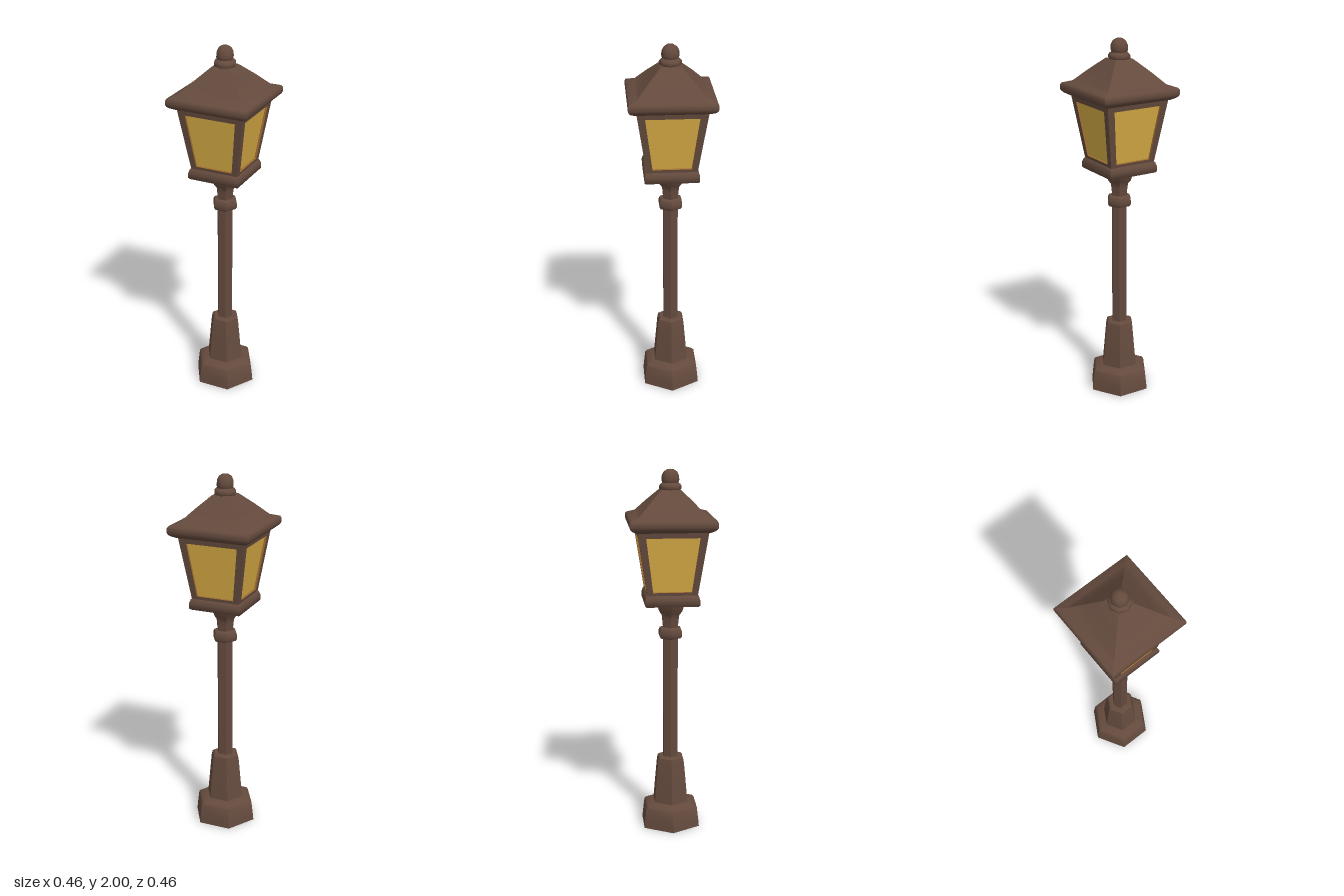
import * as THREE from 'three';
import { toCreasedNormals } from 'three/addons/utils/BufferGeometryUtils.js';

export function createModel() {
  const model = new THREE.Group();
  const material = (name, color) => {
    const m = new THREE.MeshStandardMaterial({ color });
    m.name = name;
    return m;
  };
  const iron = material('brown iron', 0x644a3d);
  const amber = material('amber glass', 0xd6ab45);
  const edge = material('dark amber edge', 0x9c6a2c);

  // Faceted turned part; profile is [radius, height] from bottom to top
  function turned(name, sides, profile, start = 0, crease = 0.6) {
    const points = profile.map(([r, y]) => new THREE.Vector2(r, y));
    const geometry = toCreasedNormals(new THREE.LatheGeometry(points, sides, start), crease);
    const mesh = new THREE.Mesh(geometry, iron);
    mesh.name = name;
    model.add(mesh);
  }
  const hex = (name, profile) => turned(name, 6, profile, Math.PI / 2);
  // Square part; profile gives half widths
  const square = (name, profile) =>
    turned(name, 4, profile.map(([w, y]) => [w * Math.SQRT2, y]), Math.PI / 4, 0.75);

  // Hexagonal foot and post
  hex('foot', [[0, 0], [0.178, 0], [0.175, 0.03], [0.165, 0.11], [0.155, 0.122], [0.105, 0.138], [0, 0.138]]);
  hex('pedestal', [[0, 0.12], [0.108, 0.12], [0.084, 0.37], [0.078, 0.395], [0.068, 0.402], [0, 0.402]]);
  hex('pole', [[0, 0.38], [0.045, 0.38], [0.045, 1.2], [0, 1.2]]);
  hex('collar', [[0.045, 1.08], [0.064, 1.086], [0.071, 1.098], [0.071, 1.122], [0.064, 1.138], [0.045, 1.145]]);
  hex('neck', [[0.045, 1.14], [0.05, 1.19], [0.054, 1.215], [0.071, 1.235], [0.088, 1.285], [0, 1.285]]);

  // Lantern tray
  square('lanternTray', [[0, 1.282], [0.14, 1.282], [0.147, 1.29], [0.147, 1.318], [0.14, 1.34], [0.13, 1.346], [0, 1.346]]);

  // Four leaning walls, each a frame with a recessed pane
  const low = 1.33, high = 1.7, lowHalf = 0.133, highHalf = 0.189;
  const slant = Math.hypot(high - low, highHalf - lowHalf);
  const lean = Math.atan2(highHalf - lowHalf, high - low);
  const trapezoid = (w0, v0, w1, v1) =>
    [[-w0, v0], [w0, v0], [w1, v1], [-w1, v1]].map(([x, y]) => new THREE.Vector2(x, y));
  const frameShape = new THREE.Shape(trapezoid(lowHalf, 0, highHalf, slant));
  frameShape.holes.push(new THREE.Path(trapezoid(0.104, 0.03, 0.143, 0.33)));
  const frameGeometry = new THREE.ExtrudeGeometry(frameShape, { depth: 0.018, bevelEnabled: false });
  frameGeometry.translate(0, 0, -0.018);
  const paneGeometry = new THREE.ShapeGeometry(new THREE.Shape(trapezoid(0.108, 0.026, 0.147, 0.334)));
  paneGeometry.translate(0, 0, -0.012);
  for (let i = 0; i < 4; i++) {
    const side = new THREE.Group();
    side.name = 'lanternSide' + (i + 1);
    const wall = new THREE.Group();
    wall.name = 'leaningWall';
    wall.position.set(0, low, lowHalf);
    wall.rotation.x = lean;
    const frame = new THREE.Mesh(frameGeometry, [iron, edge]);
    frame.name = 'windowFrame';
    const pane = new THREE.Mesh(paneGeometry, amber);
    pane.name = 'windowPane';
    wall.add(frame, pane);
    side.add(wall);
    side.rotation.y = i * Math.PI / 2;
    model.add(side);
  }

  // Hipped roof with a rounded eave
  square('roof', [[0, 1.685], [0.195, 1.685], [0.215, 1.696], [0.226, 1.706], [0.231, 1.718], [0.231, 1.738],
    [0.224, 1.75], [0.18, 1.765], [0.12, 1.828], [0.052, 1.893], [0, 1.893]]);

  // Octagonal finial
  turned('finial', 8, [[0, 1.88], [0.05, 1.885], [0.06, 1.898], [0.06, 1.912], [0.052, 1.922], [0.043, 1.928],
    [0.048, 1.942], [0.046, 1.965], [0.036, 1.986], [0.018, 1.998], [0, 2]], 0, 0.85);

  return model;
}
